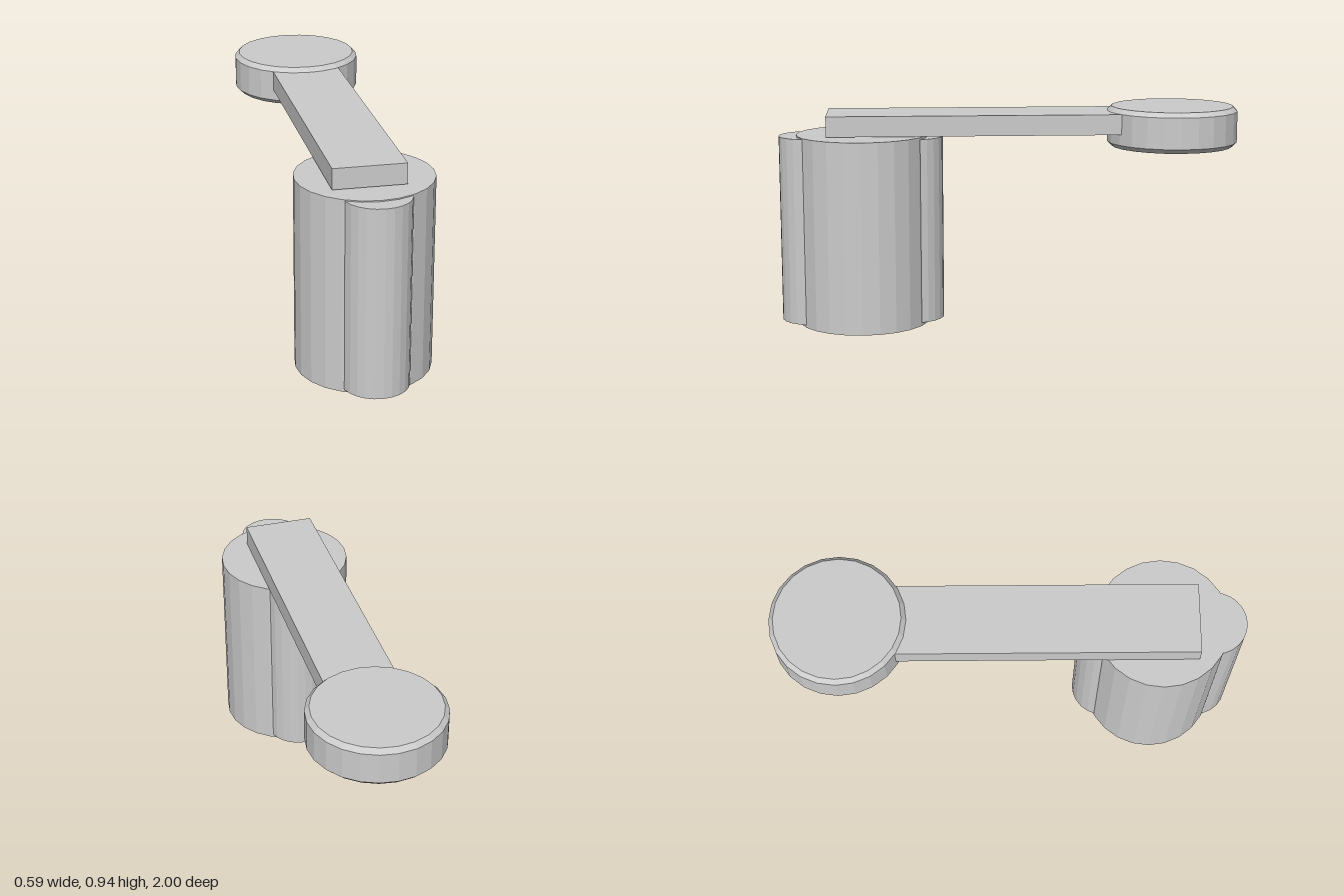
import * as THREE from 'three';

const SIDES = 24;

export function createModel() {
  const group = new THREE.Group();
  const material = new THREE.MeshStandardMaterial({ color: 0xcccccc, flatShading: true });

  const add = (name, geometry, x, y, z) => {
    const mesh = new THREE.Mesh(geometry, material);
    mesh.name = name;
    mesh.position.set(x, y, z);
    group.add(mesh);
    return mesh;
  };

  // Upright cylinder given by its bottom and top heights
  const column = (name, radius, bottom, top, x, z) =>
    add(name, new THREE.CylinderGeometry(radius, radius, top - bottom, SIDES), x, (bottom + top) / 2, z);

  // Body with a slimmer half-sunk column at front and back
  column('body', 0.285, 0, 0.828, 0.01, 0.64);
  column('frontColumn', 0.139, 0.012, 0.823, 0.011, 0.861);
  column('backColumn', 0.139, 0.014, 0.818, 0.009, 0.429);

  // Flat arm reaching back from the top of the body, turned very slightly
  const arm = add('arm', new THREE.BoxGeometry(0.302, 0.088, 1.33), -0.006, 0.876, 0.125);
  arm.rotation.y = 0.005;

  // Round end disc with chamfered rims
  const profile = [[0, 0.765], [0.265, 0.765], [0.285, 0.785], [0.285, 0.92], [0.266, 0.94], [0, 0.94]]
    .map(([r, y]) => new THREE.Vector2(r, y));
  add('endDisc', new THREE.LatheGeometry(profile, SIDES), -0.01, 0, -0.715);

  return group;
}
